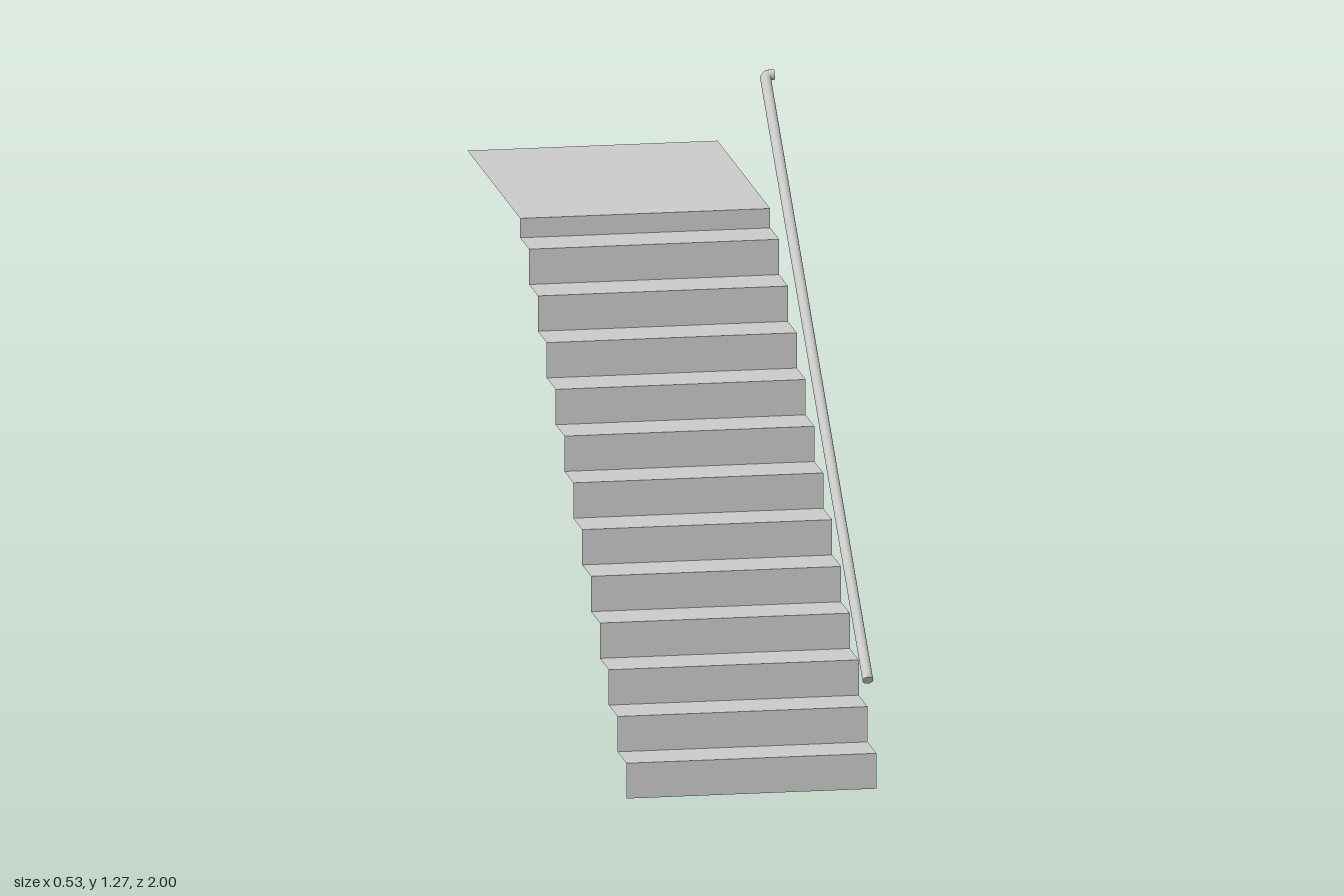
import * as THREE from 'three';

const WIDTH = 0.53, RISE = 0.0757, GOING = 0.107, TREADS = 12;
const FRONT = 0.92, TOP = 0.95, BACK = -1;

export function createModel() {
  const model = new THREE.Group();
  const sheet = new THREE.MeshStandardMaterial({ color: 0xcccccc, flatShading: true, side: THREE.DoubleSide });
  const metal = new THREE.MeshStandardMaterial({ color: 0xcccccc });

  const add = (name, geometry, material, parent = model) => {
    const mesh = new THREE.Mesh(geometry, material);
    mesh.name = name;
    parent.add(mesh);
    return mesh;
  };

  // Thin upright and level sheets of the staircase
  const riser = (name, y0, y1, z, parent) =>
    add(name, new THREE.PlaneGeometry(WIDTH, y1 - y0), sheet, parent).position.set(0, (y0 + y1) / 2, z);
  const level = (name, y, z0, z1, parent) =>
    add(name, new THREE.PlaneGeometry(WIDTH, z0 - z1).rotateX(-Math.PI / 2), sheet, parent)
      .position.set(0, y, (z0 + z1) / 2);

  // Flight of steps
  const steps = new THREE.Group();
  steps.name = 'steps';
  model.add(steps);
  for (let i = 0; i < TREADS; i++) {
    const z = FRONT - i * GOING;
    riser('riser', i * RISE, (i + 1) * RISE, z, steps);
    level('tread', (i + 1) * RISE, z, z - GOING, steps);
  }

  // Shorter last riser and the landing
  const landingFront = FRONT - TREADS * GOING;
  riser('topRiser', TREADS * RISE, TOP, landingFront, steps);
  level('landing', TOP, landingFront, BACK, model);

  // Handrail: straight pipe with a short return towards the wall at the top
  const radius = 0.0115;
  const bottom = new THREE.Vector3(0.234, 0.25, 0.993);
  const corner = new THREE.Vector3(0.234, 1.263, -0.25);
  const end = new THREE.Vector3(0.253, 1.263, -0.25);
  const slope = corner.clone().sub(bottom).normalize();
  const bendStart = corner.clone().addScaledVector(slope, -0.012);
  const bendEnd = corner.clone().lerp(end, 0.6);

  const rail = new THREE.Group();
  rail.name = 'handrail';
  model.add(rail);
  const pipe = (name, curve, segments) =>
    add(name, new THREE.TubeGeometry(curve, segments, radius, 12, false), metal, rail);
  pipe('railPipe', new THREE.LineCurve3(bottom, bendStart), 1);
  pipe('railBend', new THREE.QuadraticBezierCurve3(bendStart, corner, bendEnd), 6);
  pipe('railReturn', new THREE.LineCurve3(bendEnd, end), 1);

  // Closed pipe ends
  const cap = (name, point, direction) => {
    const disc = add(name, new THREE.CircleGeometry(radius, 12), metal, rail);
    disc.position.copy(point);
    disc.quaternion.setFromUnitVectors(new THREE.Vector3(0, 0, 1), direction);
  };
  cap('bottomCap', bottom, slope.clone().negate());
  cap('returnCap', end, new THREE.Vector3(1, 0, 0));

  return model;
}
